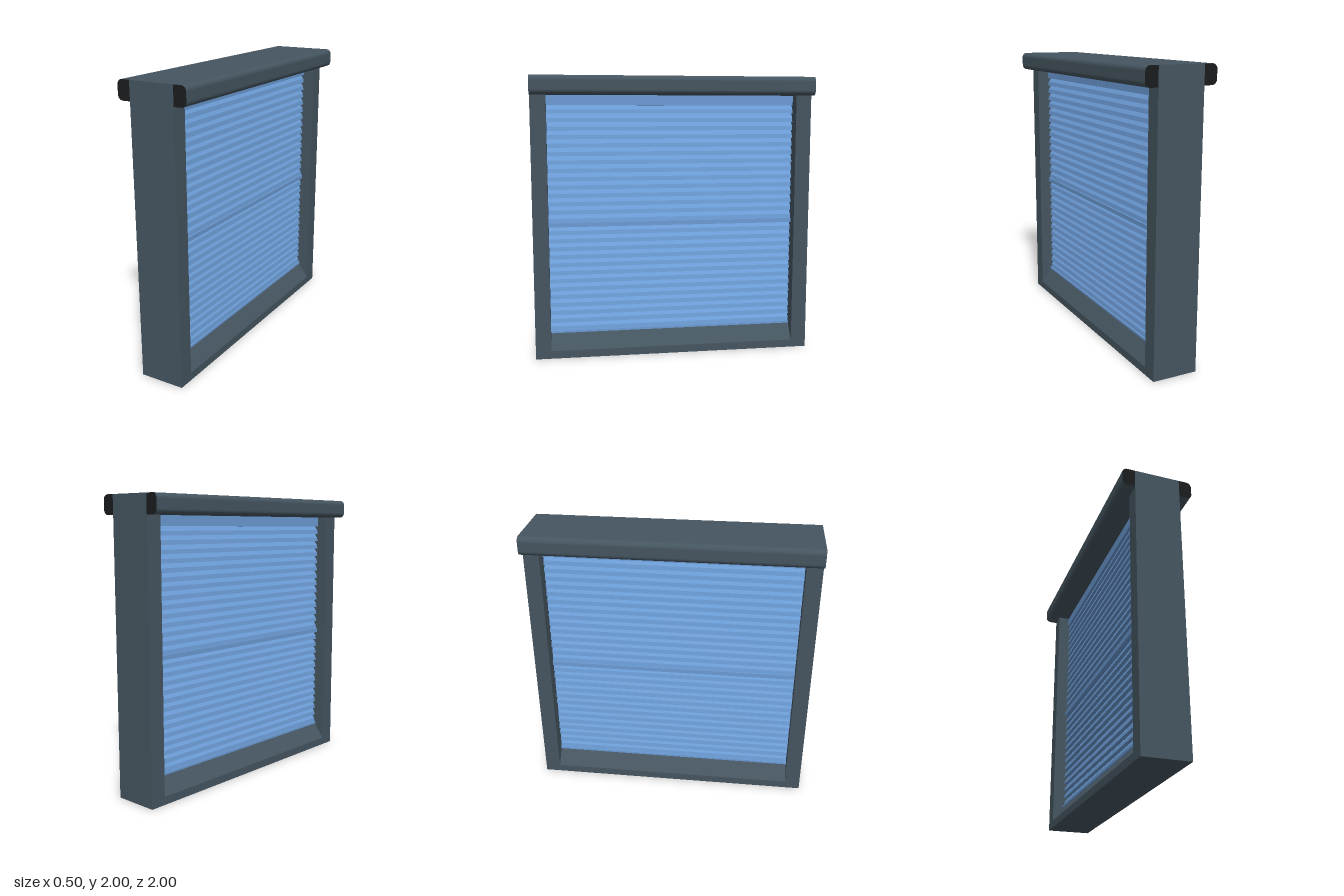
import * as THREE from 'three';

const frameMat = new THREE.MeshStandardMaterial({ color: 0x455560 });
const capMat = new THREE.MeshStandardMaterial({ color: 0x1a1c1e });
const slatMat = new THREE.MeshStandardMaterial({ color: 0x6b9bd4 });

const OPEN = 0.89;   // half width of the opening along z
const FACE = 0.16;   // half depth of the frame
const SLAT = 0.075;  // half depth of the slat panel

export function createModel() {
  const model = new THREE.Group();

  const add = (name, geometry, material, y = 0, z = 0) => {
    const mesh = new THREE.Mesh(geometry, material);
    mesh.name = name;
    mesh.position.set(0, y, z);
    model.add(mesh);
    return mesh;
  };

  // A cross-section in x and y, run along z and centred
  const run = (shape, length) =>
    new THREE.ExtrudeGeometry(shape, { depth: length, bevelEnabled: false, curveSegments: 6 })
      .translate(0, 0, -length / 2);

  // A section given by its +x side from bottom to top, mirrored to -x
  const mirrored = (side) => new THREE.Shape([
    ...side.map(([x, y]) => new THREE.Vector2(x, y)),
    ...side.slice().reverse().map(([x, y]) => new THREE.Vector2(-x, y)),
  ]);

  // Side posts
  for (const s of [1, -1]) {
    add(s > 0 ? 'frontPost' : 'backPost',
      new THREE.BoxGeometry(2 * FACE, 2, 1 - OPEN), frameMat, 1, s * (1 + OPEN) / 2);
  }

  // Header beam between the posts
  add('headerBeam', new THREE.BoxGeometry(2 * FACE, 0.13, 2 * OPEN), frameMat, 1.935);

  // Rounded overhanging lips with dark ends
  const lip = new THREE.Shape();
  const r = 0.035;
  lip.moveTo(FACE, 1.87);
  lip.lineTo(0.25 - r, 1.87);
  lip.absarc(0.25 - r, 1.87 + r, r, -Math.PI / 2, 0, false);
  lip.absarc(0.25 - r, 2 - r, r, 0, Math.PI / 2, false);
  lip.lineTo(FACE, 2);
  const lipGeometry = run(lip, 2);
  add('leftHeaderLip', lipGeometry, [capMat, frameMat]);
  add('rightHeaderLip', lipGeometry, [capMat, frameMat]).rotation.y = Math.PI;

  // Sill sloping outwards on both sides
  add('sill', run(mirrored([[FACE, 0], [FACE, 0.055], [SLAT, 0.165]]), 2 * OPEN), frameMat);

  // Overlapping slats: vertical lip, sloping face, undercut below the next one
  const slats = (name, from, to, count) => {
    const pitch = (to - from) / count;
    const side = [];
    for (let i = 0; i < count; i++) {
      const y = from + i * pitch;
      side.push([SLAT, y], [SLAT - 0.006, y + pitch * 0.5], [SLAT - 0.03, y + pitch]);
    }
    add(name, run(mirrored(side), 2 * OPEN), slatMat);
  };
  slats('lowerSlats', 0.18, 0.94, 13);
  slats('upperSlats', 0.97, 1.8, 14);

  // Plain rails around the slats
  const rail = (name, from, to, half) =>
    add(name, new THREE.BoxGeometry(2 * half, to - from, 2 * OPEN), slatMat, (from + to) / 2);
  rail('bottomRail', 0.165, 0.18, SLAT + 0.01);
  rail('middleRail', 0.94, 0.97, SLAT + 0.01);
  rail('topRail', 1.8, 1.87, SLAT);

  return model;
}
